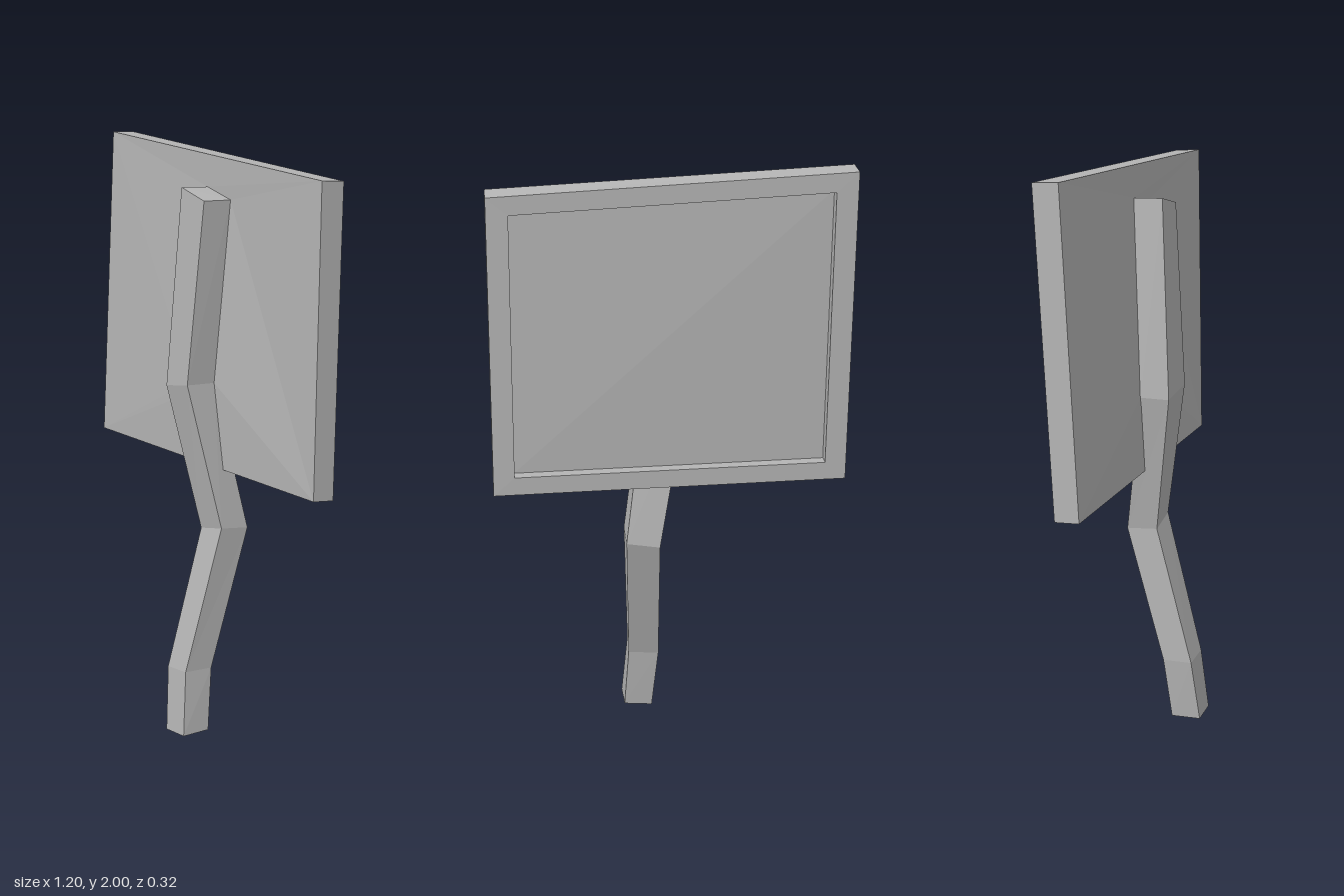
import * as THREE from 'three';

// Joins successive four-cornered loops with flat faces; optional caps close the ends.
function loft(loops, capStart, capEnd) {
  const pos = [];
  const quad = (a, b, c, d) => pos.push(...a, ...b, ...c, ...a, ...c, ...d);
  for (let k = 0; k < loops.length - 1; k++) {
    const lo = loops[k], hi = loops[k + 1];
    for (let i = 0; i < 4; i++) {
      const j = (i + 1) % 4;
      quad(lo[i], lo[j], hi[j], hi[i]);
    }
  }
  if (capStart) quad(...[...loops[0]].reverse());
  if (capEnd) quad(...loops[loops.length - 1]);
  const geo = new THREE.BufferGeometry();
  geo.setAttribute('position', new THREE.Float32BufferAttribute(pos, 3));
  geo.computeVertexNormals();
  return geo;
}

// Shrinks a loop towards its centre and shifts it along z.
function inset(loop, t, dz) {
  const c = [0, 1, 2].map((k) => loop.reduce((s, p) => s + p[k], 0) / 4);
  return loop.map((p) => p.map((v, k) => v + (c[k] - v) * t + (k === 2 ? dz : 0)));
}

export function createModel() {
  const group = new THREE.Group();
  const grey = new THREE.MeshStandardMaterial({ color: 0xb4b4b4 });
  grey.name = 'plain grey';

  const add = (name, geo) => {
    const mesh = new THREE.Mesh(geo, grey);
    mesh.name = name;
    group.add(mesh);
  };

  // Crooked post: each ring runs front left, front right, back right, back left
  const post = [
    [[0.05, 0.005, 0.16], [0.15, 0.012, 0.158], [0.148, 0.01, 0.053], [0.05, 0, 0.055]],
    [[0.025, 0.225, 0.135], [0.13, 0.235, 0.135], [0.134, 0.23, 0.03], [0.028, 0.22, 0.03]],
    [[0.035, 0.705, 0.002], [0.15, 0.73, 0], [0.15, 0.715, -0.11], [0.035, 0.695, -0.108]],
    [[-0.058, 1.2, 0.08], [0.075, 1.225, 0.088], [0.078, 1.22, -0.02], [-0.063, 1.2, -0.02]],
    [[-0.021, 1.87, 0.042], [0.105, 1.838, 0.042], [0.112, 1.835, -0.06], [-0.017, 1.865, -0.06]],
  ];
  add('post', loft(post, true, true));

  // Board: slightly skewed slab, recessed behind, its front faces rising to the post
  const back = [[-0.6, 0.92, -0.1], [0.595, 0.915, -0.117], [0.59, 1.938, -0.14], [-0.6, 1.995, -0.158]];
  const front = [[-0.6, 0.925, -0.015], [0.595, 0.925, -0.036], [0.59, 1.945, -0.053], [-0.6, 2, -0.07]];
  const seat = [post[3][3], post[3][2], post[4][2], post[4][3]];
  const rim = inset(back, 0.12, 0);
  const panel = inset(back, 0.12, 0.043);
  add('signBoard', loft([rim, back, front, seat], false, false));
  add('recessedPanel', loft([panel, rim], true, false));

  return group;
}
